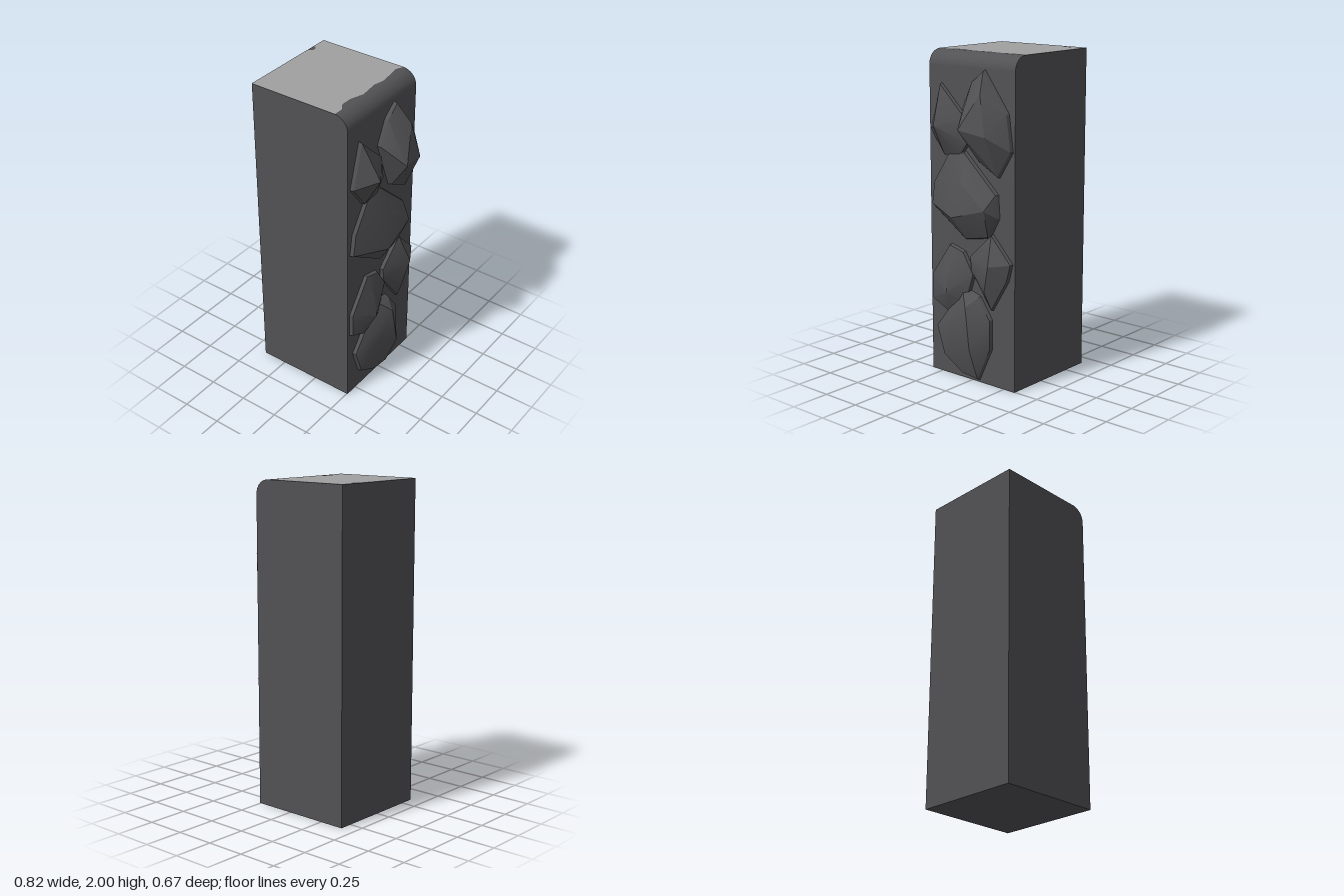
import * as THREE from 'three';
import { toCreasedNormals } from 'three/addons/utils/BufferGeometryUtils.js';
import { ConvexGeometry } from 'three/addons/geometries/ConvexGeometry.js';

const LEFT = -0.41, FACE = 0.255, HALF = 0.333, TOP = 2, ROUND = 0.09;

// Convex stone from its outline on the wall [z, y] and its raised corners [x, y, z];
// the rim rises a little and draws in before sloping to the raised corners
function stoneGeometry(outline, peaks) {
  const centre = new THREE.Vector3();
  const base = outline.map(([z, y]) => new THREE.Vector3(FACE, y, z));
  base.forEach((p) => centre.addScaledVector(p, 1 / base.length));
  const rim = base.map((p) => p.clone().lerp(centre, 0.03).setX(FACE + 0.022));
  const raised = peaks.map((p) => new THREE.Vector3(...p));
  return toCreasedNormals(new ConvexGeometry([...base, ...rim, ...raised]), 0.45);
}

export function createModel() {
  const model = new THREE.Group();
  model.name = 'rockyPillar';
  const darkStone = new THREE.MeshStandardMaterial({ color: 0x525154 });
  darkStone.name = 'dark stone';
  const paleTop = new THREE.MeshStandardMaterial({ color: 0xa0a0a1 });
  paleTop.name = 'pale top';

  const add = (name, geometry, material) => {
    const mesh = new THREE.Mesh(geometry, material);
    mesh.name = name;
    model.add(mesh);
    return mesh;
  };
  const addStone = (name, outline, peaks) => add(name, stoneGeometry(outline, peaks), darkStone);

  // Block with one rounded upper edge
  const profile = new THREE.Shape();
  profile.moveTo(LEFT, 0);
  profile.lineTo(FACE, 0);
  profile.lineTo(FACE, TOP - ROUND);
  profile.absarc(FACE - ROUND, TOP - ROUND, ROUND, 0, Math.PI / 2, false);
  profile.lineTo(LEFT, TOP);
  const block = new THREE.ExtrudeGeometry(profile, { depth: 2 * HALF, bevelEnabled: false, curveSegments: 10 });
  block.translate(0, 0, -HALF);
  add('block', toCreasedNormals(block, 0.5), darkStone);

  // Pale top layer: ragged right edge, small chip on the left
  const layerShape = new THREE.Shape();
  layerShape.moveTo(LEFT, -HALF);
  layerShape.lineTo(0.17, -HALF);
  const ragged = [[0.17, -0.27], [0.14, -0.225], [0.14, -0.15], [0.167, -0.065], [0.152, 0.06], [0.167, 0.13], [0.145, 0.285]];
  ragged.forEach(([x, y]) => layerShape.lineTo(x, y));
  layerShape.lineTo(0.167, HALF);
  layerShape.lineTo(LEFT, HALF);
  layerShape.absarc(LEFT, 0.205, 0.03, Math.PI / 2, -Math.PI / 2, true);
  const layer = new THREE.ShapeGeometry(layerShape, 4);
  layer.rotateX(-Math.PI / 2);
  add('topLayer', layer, paleTop).position.y = TOP + 0.001;

  // Stones set into the right side, from top to bottom
  addStone('upperFrontStone',
    [[0.23, 1.81], [0.31, 1.53], [0.20, 1.38], [0.07, 1.39], [0.01, 1.47], [0.03, 1.62]],
    [[0.38, 1.57, 0.19], [0.30, 1.74, 0.21]]);
  addStone('upperBackStone',
    [[-0.11, 1.91], [-0.29, 1.67], [-0.32, 1.45], [-0.22, 1.29], [-0.07, 1.37], [0.05, 1.69], [-0.02, 1.84]],
    [[0.41, 1.57, -0.03], [0.38, 1.54, -0.21], [0.35, 1.78, -0.15]]);
  addStone('middleStone',
    [[0.16, 1.41], [0.04, 1.42], [-0.21, 1.19], [-0.22, 1.05], [-0.15, 0.92], [0.03, 0.885], [0.31, 1.07], [0.29, 1.21]],
    [[0.345, 1.24, 0], [0.345, 1.10, -0.17], [0.365, 1.03, 0.07]]);
  addStone('lowerBackStone',
    [[-0.17, 0.95], [-0.32, 0.79], [-0.29, 0.68], [-0.17, 0.48], [-0.01, 0.70], [0, 0.79]],
    [[0.345, 0.77, -0.20], [0.32, 0.60, -0.15]]);
  addStone('lowerFrontStone',
    [[0.16, 0.84], [0.05, 0.81], [-0.03, 0.68], [0.03, 0.49], [0.19, 0.41], [0.31, 0.47], [0.31, 0.63]],
    [[0.32, 0.68, 0.14], [0.335, 0.55, 0.14]]);
  addStone('bottomStone',
    [[0.06, 0.585], [-0.07, 0.55], [-0.16, 0.42], [-0.16, 0.23], [-0.06, 0.015], [0.07, 0.03], [0.22, 0.12], [0.28, 0.30]],
    [[0.355, 0.23, -0.06], [0.335, 0.33, 0.11], [0.345, 0.49, -0.02]]);
  return model;
}
